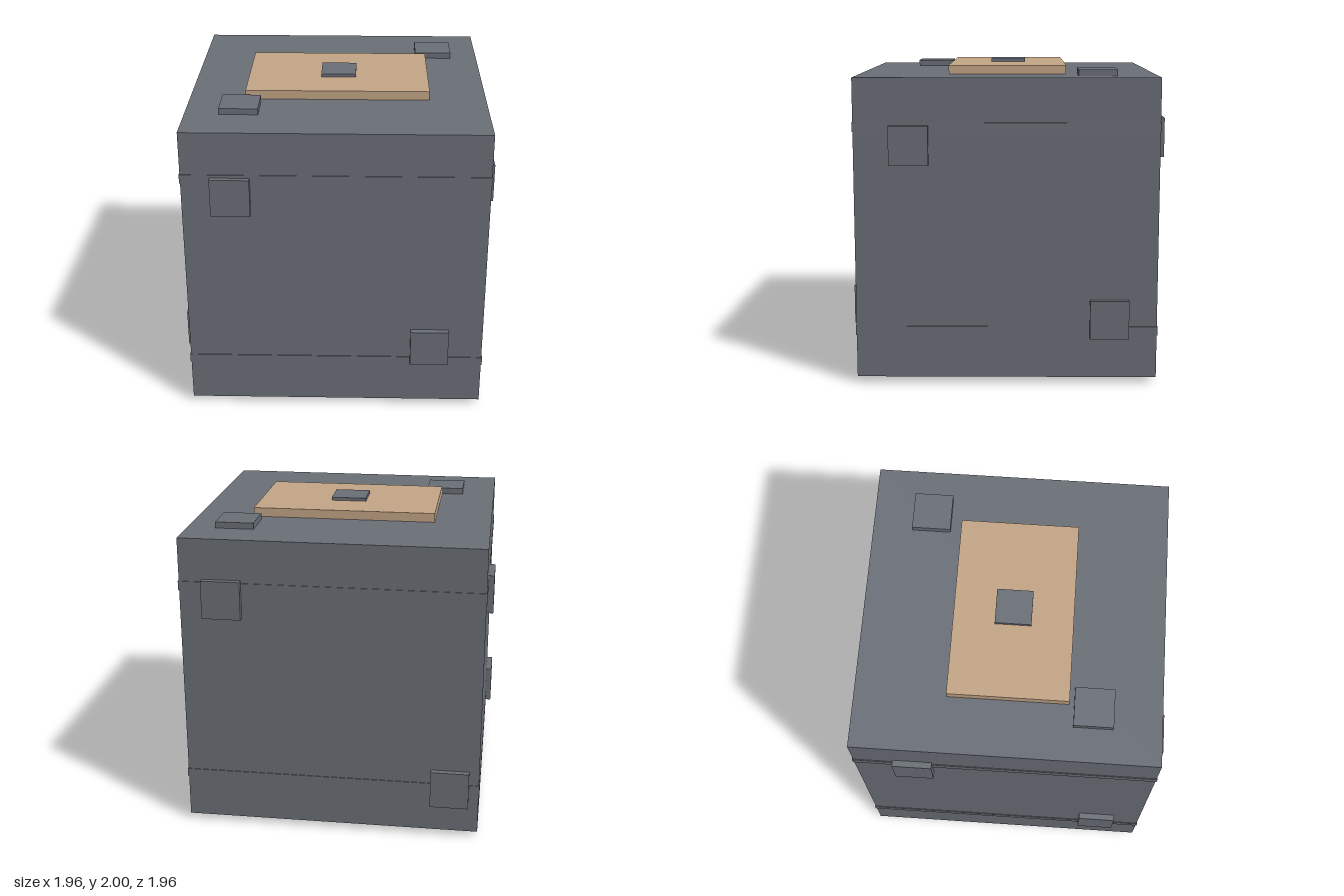
import * as THREE from 'three';

export function createModel() {
  const model = new THREE.Group();
  model.name = 'crate';
  const slate = new THREE.MeshStandardMaterial({ color: 0x6b7078 });
  slate.name = 'slate grey';
  const tan = new THREE.MeshStandardMaterial({ color: 0xc5a687 });
  tan.name = 'tan';

  const box = (name, size, pos, material = slate) => {
    const mesh = new THREE.Mesh(new THREE.BoxGeometry(...size), material);
    mesh.name = name;
    mesh.position.set(...pos);
    model.add(mesh);
    return mesh;
  };

  // Main cube
  const SIDE = 1.88, MID = 0.983, HALF = SIDE / 2;
  box('body', [SIDE, SIDE, SIDE], [0, MID, 0]);

  // Thin bands wrapped around the sides
  box('upperBand', [SIDE + 0.01, 0.056, SIDE + 0.01], [0, 1.622, 0]);
  box('lowerBand', [SIDE + 0.01, 0.056, SIDE + 0.01], [0, 0.343, 0]);

  // Square pads, two on each face: axis, direction, centres on the face
  const PAD = 0.243, THICK = 0.039;
  const faces = [
    ['front', 2, 1, [[-0.64, 1.51], [0.6, 0.455]]], // x, y
    ['back', 2, -1, [[0.675, 1.545], [-0.755, 0.343]]], // x, y
    ['left', 0, 1, [[1.51, 0.6], [0.42, -0.642]]], // y, z
    ['right', 0, -1, [[1.563, -0.57], [0.457, 0.64]]], // y, z
    ['top', 1, 1, [[0.64, -0.567], [-0.605, 0.523]]], // x, z
    ['bottom', 1, -1, [[0.6, 0.585], [-0.64, -0.525]]], // x, z
  ];
  for (const [face, axis, dir, centres] of faces) {
    for (const centre of centres) {
      const size = [PAD, PAD, PAD];
      size[axis] = THICK + 0.01; // sunk slightly into the cube
      const pos = [...centre];
      const along = dir * (HALF + THICK / 2 - 0.005) + (axis === 1 ? MID : 0);
      pos.splice(axis, 0, along);
      box(face + 'Pad', size, pos);
    }
  }

  // Raised tan plate with a small square on top
  box('topPlate', [1.165, 0.067, 0.745], [-0.002, 1.9465, -0.002], tan);
  box('centrePad', [0.226, 0.03, 0.226], [0, 1.985, -0.002]);

  return model;
}
